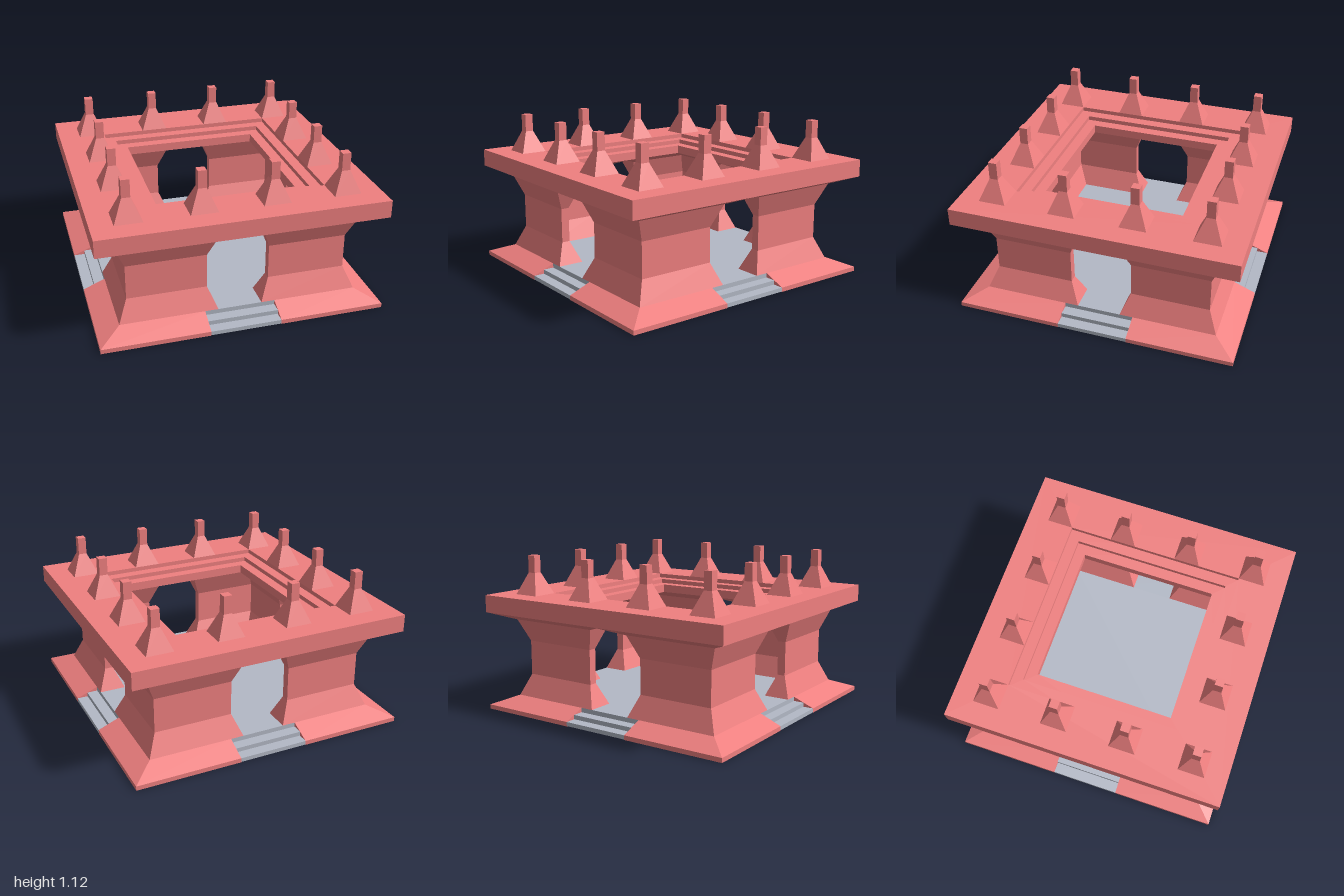
import * as THREE from 'three';

const red = new THREE.MeshStandardMaterial({ color: 0xf08080, flatShading: true });
const grey = new THREE.MeshStandardMaterial({ color: 0xb3b9c6, flatShading: true });

// L-shaped corner block lofted through rows of [y, outer, inner, end]
function cornerLoft(rows) {
  const rings = rows.map(([y, o, i, e]) =>
    [[e, o], [o, o], [o, e], [i, e], [i, i], [e, i]].map(([x, z]) => [x, y, z]));
  const pos = [];
  const tri = (a, b, c) => pos.push(...a, ...b, ...c);
  for (let r = 0; r < rings.length - 1; r++) {
    for (let k = 0; k < 6; k++) {
      const n = (k + 1) % 6, lo = rings[r], hi = rings[r + 1];
      tri(lo[k], lo[n], hi[n]);
      tri(lo[k], hi[n], hi[k]);
    }
  }
  // caps fan out from the outer corner
  const bottom = rings[0], top = rings[rings.length - 1];
  for (let k = 2; k < 6; k++) {
    const n = (k + 1) % 6;
    tri(top[1], top[k], top[n]);
    tri(bottom[1], bottom[n], bottom[k]);
  }
  const g = new THREE.BufferGeometry();
  g.setAttribute('position', new THREE.Float32BufferAttribute(pos, 3));
  g.computeVertexNormals();
  return g;
}

// Square frame with a square hole
function frame(inner, y0, y1) {
  const square = (s) => [[-s, -s], [s, -s], [s, s], [-s, s]].map(([x, y]) => new THREE.Vector2(x, y));
  const shape = new THREE.Shape(square(1));
  shape.holes.push(new THREE.Path(square(inner)));
  const g = new THREE.ExtrudeGeometry(shape, { depth: y1 - y0, bevelEnabled: false });
  return g.rotateX(-Math.PI / 2).translate(0, y0, 0);
}

// Box from its limits in y and z, centred on x
function block(w, y0, y1, z0, z1) {
  return new THREE.BoxGeometry(w, y1 - y0, z1 - z0).translate(0, (y0 + y1) / 2, (z0 + z1) / 2);
}

export function createModel() {
  const model = new THREE.Group();
  const add = (parent, geometry, material, name) => {
    const mesh = new THREE.Mesh(geometry, material);
    mesh.name = name;
    parent.add(mesh);
    return mesh;
  };

  // Underside and raised floor
  add(model, new THREE.PlaneGeometry(2, 2).rotateX(Math.PI / 2), red, 'underside');
  add(model, block(1.31, 0.003, 0.095, -0.655, 0.655), grey, 'floor');

  // Plinth and waisted wall of each corner; the wall swells by h about its centre line
  const plinth = cornerLoft([
    [0, 1, 0.655, 0.25], [0.032, 1, 0.655, 0.25], [0.095, 0.845, 0.655, 0.25],
  ]);
  const wall = cornerLoft([
    [0.095, 0.095], [0.25, 0.03], [0.5, 0.03], [0.66, 0.095], [0.72, 0.25],
  ].map(([y, h]) => [y, 0.75 + h, 0.75 - h, 0.25 - h]));

  for (let q = 0; q < 4; q++) {
    const side = new THREE.Group();
    side.name = 'side' + (q + 1);
    side.rotation.y = q * Math.PI / 2;
    add(side, plinth, red, 'cornerPlinth');
    add(side, wall, red, 'cornerWall');

    // Three steps at the doorway
    [[0.032, 1], [0.063, 0.9225], [0.095, 0.845]].forEach(([y, z]) =>
      add(side, block(0.5, 0.003, y, 0.655, z), grey, 'step'));

    // Three finials per side: the fourth belongs to the next side
    for (const x of [-0.25, 0.25, 0.75]) {
      const finial = new THREE.Group();
      finial.name = 'finial';
      finial.position.set(x, 0.845, 0.75);
      const foot = new THREE.CylinderGeometry(0.03 * Math.SQRT2, 0.095 * Math.SQRT2, 0.155, 4)
        .rotateY(Math.PI / 4).translate(0, 0.0775, 0);
      add(finial, foot, red, 'finialFoot');
      add(finial, block(0.06, 0.155, 0.28, -0.03, 0.03), red, 'finialPost');
      side.add(finial);
    }
    model.add(side);
  }

  // Roof ring, stepping down towards the open court
  [[0.5, 0.72, 0.782], [0.5775, 0.782, 0.814], [0.655, 0.814, 0.845]].forEach(([inner, y0, y1]) =>
    add(model, frame(inner, y0, y1), red, 'roofRing'));

  return model;
}
